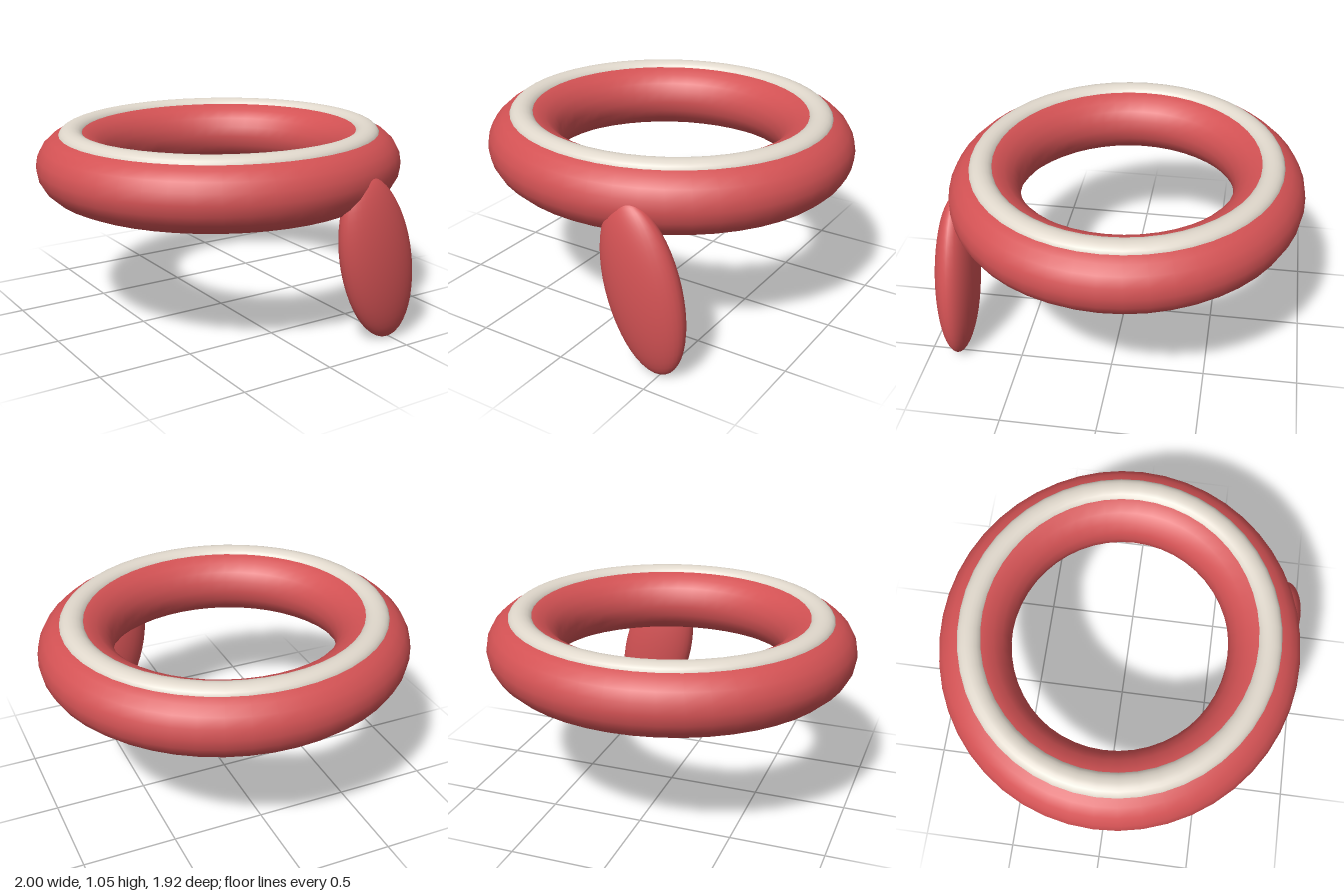
import * as THREE from 'three';

// Flat ring lying in the xz plane, slightly shortened along z
function ring(name, material, radius, tubeWidth, tubeHeight, y) {
  const geometry = new THREE.TorusGeometry(radius, tubeWidth, 20, 48);
  geometry.rotateX(Math.PI / 2);
  geometry.scale(1, tubeHeight / tubeWidth, 0.947);
  const mesh = new THREE.Mesh(geometry, material);
  mesh.name = name;
  mesh.position.set(0, y, -0.012);
  return mesh;
}

export function createModel() {
  const red = new THREE.MeshStandardMaterial({ color: 0xd35254 });
  red.name = 'soft red';
  const cream = new THREE.MeshStandardMaterial({ color: 0xe0d8cc });
  cream.name = 'cream';

  const model = new THREE.Group();
  model.name = 'ringWithTag';

  // Thick collar with a raised pale band on its top
  model.add(ring('collar', red, 0.8, 0.2, 0.18, 0.848));
  model.add(ring('topBand', cream, 0.81, 0.068, 0.05, 0.999));

  // Flattened, tilted tag hanging from the front
  const tag = new THREE.Mesh(new THREE.SphereGeometry(1, 32, 24), red);
  tag.name = 'hangingTag';
  tag.scale.set(0.214, 0.455, 0.11);
  tag.rotation.z = 0.244;
  tag.position.set(0.4, 0.446, 0.848);
  model.add(tag);

  return model;
}
